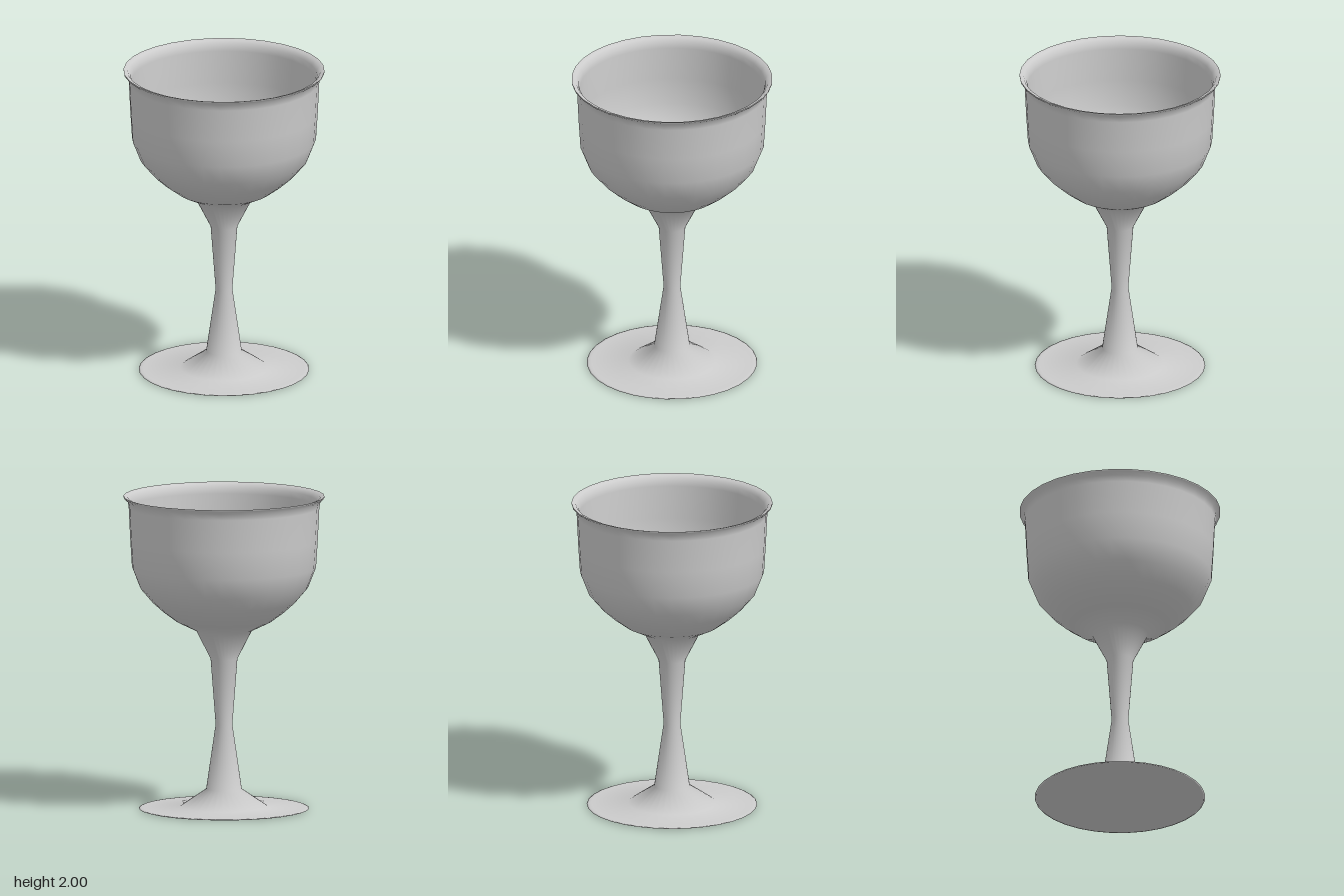
import * as THREE from 'three';

const SIDES = 32;
const material = new THREE.MeshStandardMaterial({ color: 0xcccccc });

// Revolves a list of [radius, height] pairs around the y axis
function turned(name, profile) {
  const points = profile.map(([r, y]) => new THREE.Vector2(r, y));
  const mesh = new THREE.Mesh(new THREE.LatheGeometry(points, SIDES), material);
  mesh.name = name;
  return mesh;
}

export function createModel() {
  const goblet = new THREE.Group();
  goblet.name = 'goblet';

  // Shallow recess under the foot
  goblet.add(turned('footUnderside', [[0, 0.008], [0.27, 0.008], [0.5, 0], [0.53, 0.001]]));

  // Foot, stem and bowl exterior flow together as one smooth skin
  goblet.add(turned('footStemAndBowl', [
    [0.53, 0.001], [0.54, 0.004], [0.53, 0.008], [0.51, 0.01], // foot edge
    [0.277, 0.016], [0.113, 0.127],                            // foot rise
    [0.053, 0.54], [0.085, 0.96], [0.177, 1.14],               // stem
    [0.3, 1.2], [0.388, 1.265], [0.455, 1.325], [0.532, 1.415], // bowl belly
    [0.583, 1.545], [0.594, 1.72], [0.604, 1.93],              // bowl wall
    [0.612, 1.97], [0.636, 1.99], [0.637, 2],                  // flared lip
  ]));

  // Inside of the bowl, from lip down to the centre
  goblet.add(turned('bowlInterior', [
    [0.637, 2], [0.61, 1.992], [0.592, 1.965], [0.585, 1.93],
    [0.577, 1.72], [0.566, 1.55], [0.515, 1.43], [0.44, 1.34],
    [0.375, 1.285], [0.29, 1.222], [0.17, 1.17], [0, 1.15],
  ]));

  return goblet;
}
